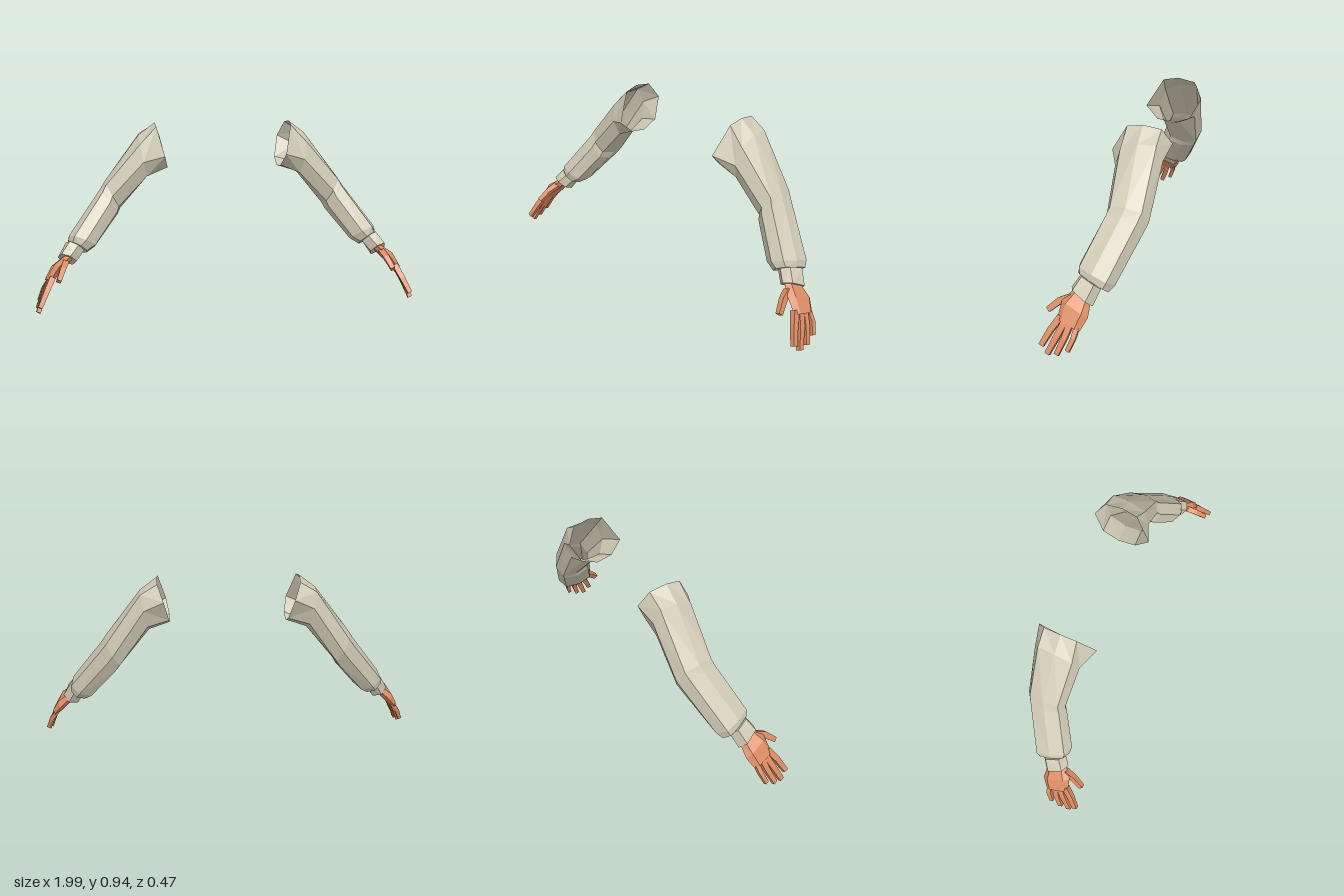
import * as THREE from 'three';

const OCT = [[1, 0], [0.8, 0.75], [0, 1], [-0.8, 0.75], [-1, 0], [-0.8, -0.75], [0, -1], [0.8, -0.75]];
const HEX = [[1, 0.6], [0, 1], [-1, 0.6], [-1, -0.6], [0, -1], [1, -0.6]];
const BOX = [[1, 1], [-1, 1], [-1, -1], [1, -1]];

// Cross-section around centre c: u points to the outer side, v to the front
const ring = (c, u, v, profile) =>
  profile.map(([a, b]) => c.map((p, i) => p + a * u[i] + b * v[i]));

// Faceted skin through a list of rings, mirrored for side = -1
function loft(rings, side, capStart, capEnd) {
  const pos = [];
  const tri = (a, b, c) => {
    for (const p of side > 0 ? [a, b, c] : [a, c, b]) pos.push(p[0] * side, p[1], p[2]);
  };
  const n = rings[0].length;
  for (let i = 0; i < rings.length - 1; i++) {
    for (let j = 0; j < n; j++) {
      const k = (j + 1) % n, p = rings[i], q = rings[i + 1];
      tri(p[j], p[k], q[k]);
      tri(p[j], q[k], q[j]);
    }
  }
  const first = rings[0], last = rings[rings.length - 1];
  for (let j = 1; j < n - 1; j++) {
    if (capStart) tri(first[0], first[j + 1], first[j]);
    if (capEnd) tri(last[0], last[j], last[j + 1]);
  }
  const g = new THREE.BufferGeometry();
  g.setAttribute('position', new THREE.Float32BufferAttribute(pos, 3));
  g.computeVertexNormals();
  return g;
}

// Flared shoulder opening
const OPENING = [
  [0.36, 0.94, -0.10], [0.355, 0.925, -0.02], [0.317, 0.78, 0.067], [0.30, 0.715, 0.0],
  [0.297, 0.70, -0.09], [0.30, 0.735, -0.18], [0.325, 0.845, -0.237], [0.355, 0.925, -0.19],
];

// Sleeve sections: centre, outward half-axis, front half-axis
const SLEEVE = [
  [[0.425, 0.77, -0.098], [0.02, 0.105, 0], [0, -0.025, 0.118]],
  [[0.59, 0.56, -0.09], [0.04, 0.072, 0], [0, 0.01, 0.102]],
  [[0.61, 0.525, -0.075], [0.045, 0.067, 0], [-0.008, 0.015, 0.10]],
  [[0.755, 0.335, 0.01], [0.065, 0.033, 0.008], [-0.026, 0.028, 0.094]],
  [[0.78, 0.305, 0.022], [0.045, 0.03, 0], [-0.022, 0.028, 0.08]],
  [[0.79, 0.312, 0.03], [0.03, 0.02, 0], [-0.018, 0.015, 0.045]],
];

const CUFF = [
  [[0.79, 0.315, 0.03], [0.037, 0.024, 0.004], [-0.02, 0.018, 0.055]],
  [[0.832, 0.253, 0.061], [0.037, 0.022, 0.004], [-0.02, 0.031, 0.057]],
];

const PALM = [
  [[0.815, 0.28, 0.05], [0.018, 0.011, 0], [-0.014, 0.016, 0.043]],
  [[0.835, 0.255, 0.062], [0.018, 0.011, 0], [-0.014, 0.018, 0.048]],
  [[0.885, 0.213, 0.08], [0.02, 0.015, 0], [-0.018, 0.026, 0.068]],
  [[0.928, 0.152, 0.098], [0.015, 0.008, 0], [-0.012, 0.017, 0.058]],
];

// Finger paths from knuckle to tip, with half width
const FINGERS = {
  indexFinger: [[[0.905, 0.18, 0.138], [0.935, 0.118, 0.181], [0.968, 0.046, 0.219]], 0.015],
  middleFinger: [[[0.915, 0.17, 0.112], [0.95, 0.098, 0.146], [0.98, 0.012, 0.187]], 0.015],
  ringFinger: [[[0.92, 0.165, 0.086], [0.956, 0.095, 0.109], [0.985, 0.02, 0.14]], 0.014],
  littleFinger: [[[0.922, 0.155, 0.055], [0.958, 0.105, 0.064], [0.982, 0.046, 0.087]], 0.012],
  thumb: [[[0.838, 0.25, 0.105], [0.85, 0.228, 0.16], [0.87, 0.18, 0.216]], 0.016],
};

function fingerRings([path, w]) {
  const thumb = path[0][1] > 0.2;
  const u = thumb ? [0.9, 0.4, 0] : [0.88, 0.46, 0];
  const v = thumb ? [-0.3, 0.68, 0.66] : [-0.2, 0.35, 0.9];
  return path.map((c, i) => {
    const s = w * [1.1, 1, 0.85][i];
    return ring(c, u.map(k => k * s * 0.9), v.map(k => k * s), BOX);
  });
}

export function createModel() {
  const model = new THREE.Group();
  const cloth = new THREE.MeshStandardMaterial({ color: 0xd0c9b5, side: THREE.DoubleSide });
  cloth.name = 'sleeveCloth';
  const skin = new THREE.MeshStandardMaterial({ color: 0xdc8c64 });
  skin.name = 'skin';

  const sections = (list, profile) => list.map(([c, u, v]) => ring(c, u, v, profile));

  for (const side of [1, -1]) {
    const arm = new THREE.Group();
    arm.name = side > 0 ? 'leftArm' : 'rightArm';
    const add = (name, geometry, material) => {
      const mesh = new THREE.Mesh(geometry, material);
      mesh.name = name;
      arm.add(mesh);
    };

    add('sleeve', loft([OPENING, ...sections(SLEEVE, OCT)], side, false, false), cloth);
    add('cuff', loft(sections(CUFF, HEX), side, true, true), cloth);
    add('palm', loft(sections(PALM, HEX), side, true, true), skin);
    for (const [name, finger] of Object.entries(FINGERS)) {
      add(name, loft(fingerRings(finger), side, true, true), skin);
    }
    model.add(arm);
  }
  return model;
}
